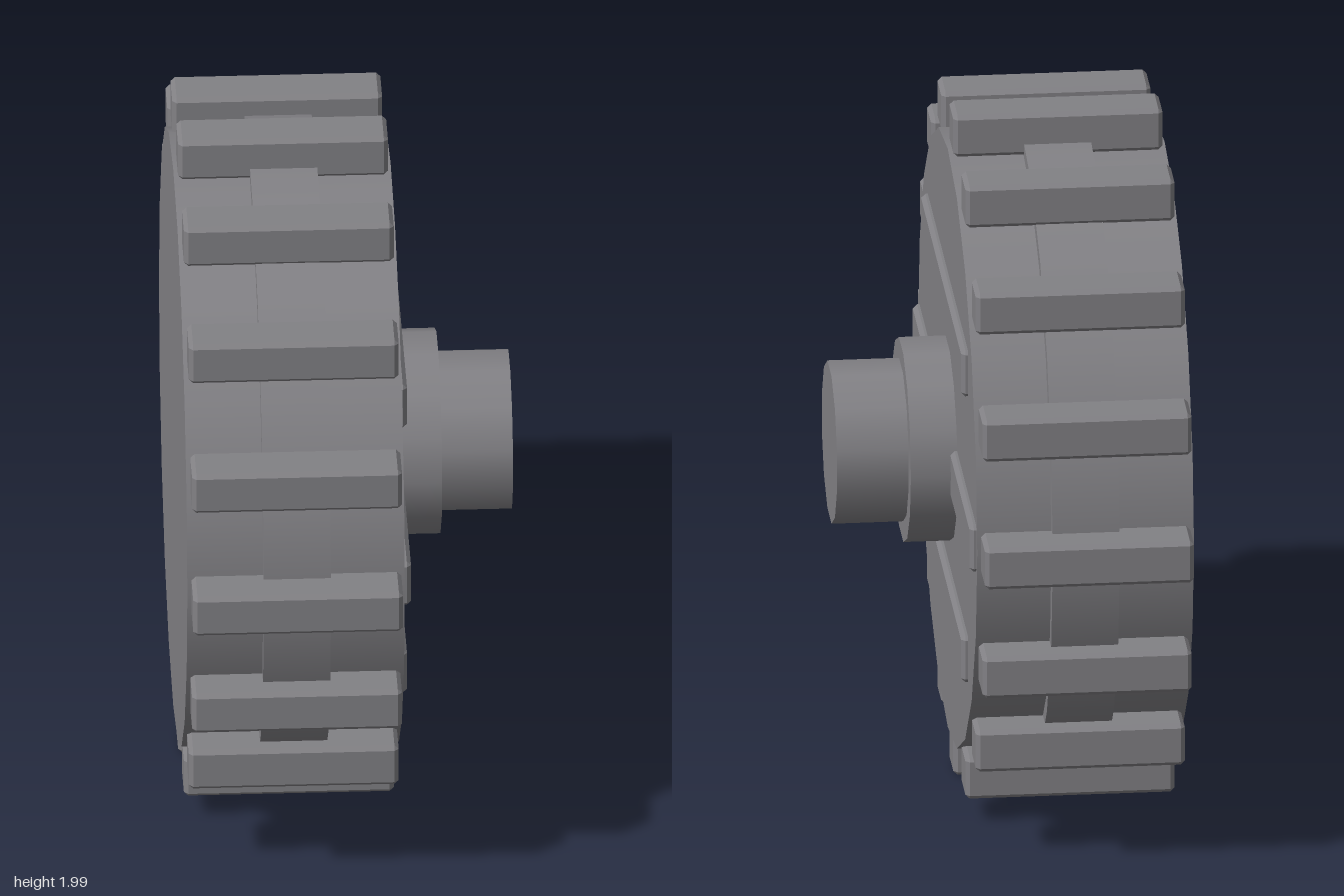
import * as THREE from 'three';
import { ConvexGeometry } from 'three/addons/geometries/ConvexGeometry.js';

const material = new THREE.MeshStandardMaterial({ color: 0x828185 });

// Box with chamfered edges, made as the hull of its 24 corner points
function chamferBox(w, h, d, c) {
  const points = [];
  for (const sx of [-1, 1]) for (const sy of [-1, 1]) for (const sz of [-1, 1]) {
    const x = w / 2, y = h / 2, z = d / 2;
    points.push(
      new THREE.Vector3(sx * x, sy * (y - c), sz * (z - c)),
      new THREE.Vector3(sx * (x - c), sy * y, sz * (z - c)),
      new THREE.Vector3(sx * (x - c), sy * (y - c), sz * z));
  }
  return new ConvexGeometry(points);
}

export function createModel() {
  const model = new THREE.Group();
  model.name = 'treadedWheel';
  const wheel = new THREE.Group();
  wheel.name = 'wheel';
  wheel.position.y = 0.9925;
  model.add(wheel);

  const add = (name, geometry, x, y = 0, z = 0) => {
    const mesh = new THREE.Mesh(geometry, material);
    mesh.name = name;
    mesh.position.set(x, y, z);
    wheel.add(mesh);
  };

  // Cylinder along x from x0 to x1
  const disc = (name, radius, x0, x1, sides, start = 0) => {
    const geometry = new THREE.CylinderGeometry(radius, radius, x1 - x0, sides, 1, false, start);
    add(name, geometry.rotateZ(-Math.PI / 2), (x0 + x1) / 2);
  };

  // Wheel body with a raised band around its middle
  disc('wheelBody', 0.87, -0.47, 0.138, 20);
  disc('centreBand', 0.912, -0.258, -0.07, 20);

  // Hub and axle stub
  disc('hub', 0.29, 0.13, 0.269, 14);
  disc('axle', 0.23, 0.26, 0.47, 12, Math.PI / 12);

  // Upright tread blocks around the rim
  const tread = chamferBox(0.587, 0.125, 0.135, 0.012);
  for (let i = 0; i < 16; i++) {
    const a = i * Math.PI / 8;
    add('treadBlock', tread, -0.1655, 0.93 * Math.sin(a), 0.9325 * Math.cos(a));
  }

  // Raised bars on the outer face
  for (const [y, length] of [[0.43, 1.2], [0, 1.69], [-0.43, 1.2]]) {
    add('faceBar', chamferBox(0.06, 0.14, length, 0.012), 0.127, y);
  }
  return model;
}
